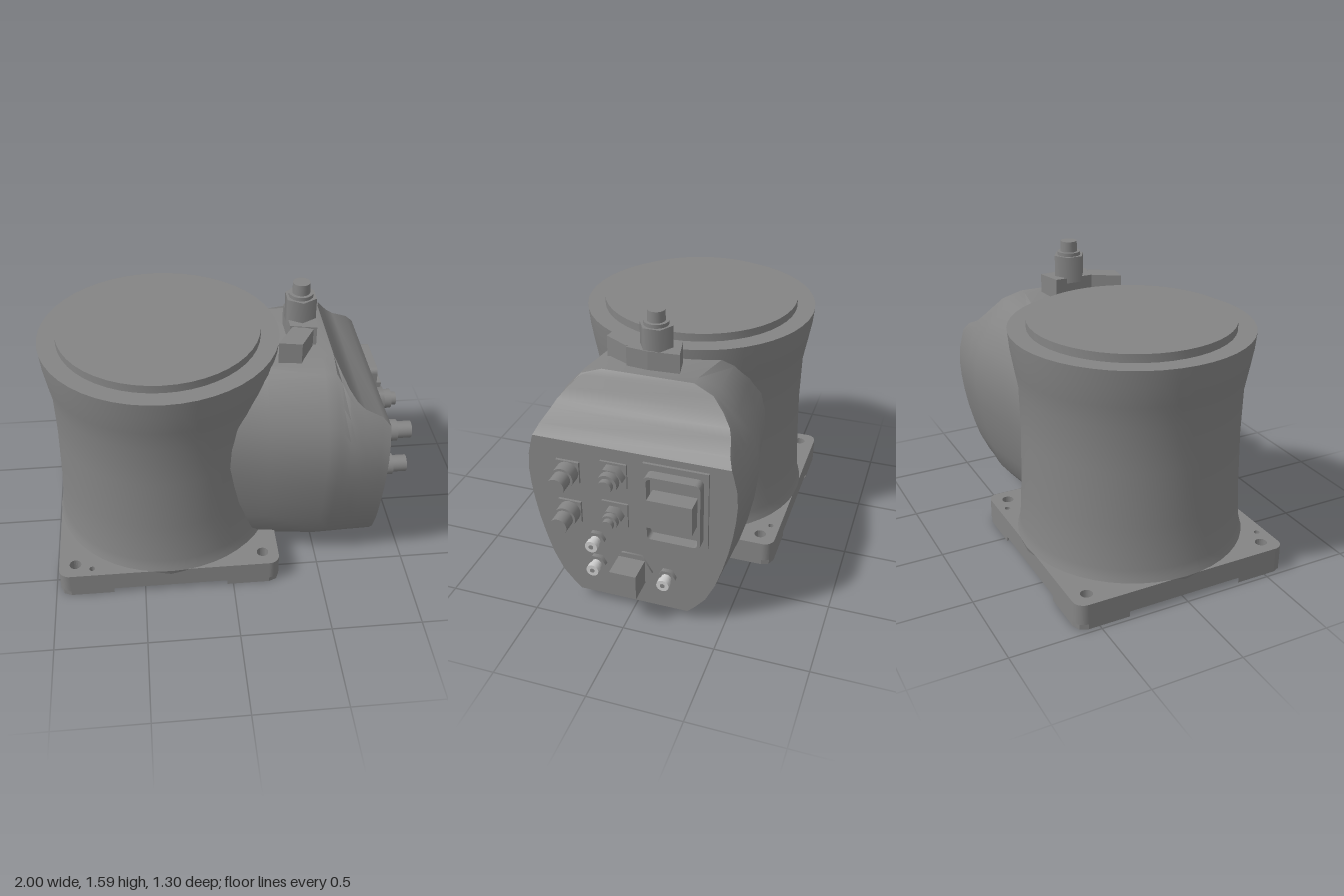
import * as THREE from 'three';
import { toCreasedNormals } from 'three/addons/utils/BufferGeometryUtils.js';

const CX = -0.355; // centre of the base plate
const FACE = 0.835; // x of the connector panel

export function createModel() {
  const root = new THREE.Group();
  const darkGrey = new THREE.MeshStandardMaterial({ color: 0x848484 });
  const lightGrey = new THREE.MeshStandardMaterial({ color: 0xcccccc });

  const add = (name, geometry, x = 0, y = 0, z = 0, parent = root) => {
    const mesh = new THREE.Mesh(geometry, darkGrey);
    mesh.name = name;
    mesh.position.set(x, y, z);
    parent.add(mesh);
    return mesh;
  };
  const polygon = (points) => new THREE.Shape(points.map(([a, b]) => new THREE.Vector2(a, b)));
  const drill = (shape, x, z, r) => {
    const hole = new THREE.Path();
    hole.absarc(x, z, r, 0, Math.PI * 2, true);
    shape.holes.push(hole);
  };
  // Rectangle with rounded corners, half sizes a and b
  const roundRect = (Outline, a, b, c, x = 0) => {
    const s = new Outline();
    [[1, 1], [-1, 1], [-1, -1], [1, -1]].forEach(([sx, sy], k) =>
      s.absarc(x + sx * (a - c), sy * (b - c), c, k * Math.PI / 2, (k + 1) * Math.PI / 2, false));
    return s;
  };
  // Horizontal slab from an (x, z) outline
  const slab = (shape, top, depth) => {
    const g = new THREE.ExtrudeGeometry(shape, { depth, bevelEnabled: false, curveSegments: 10 });
    return g.rotateX(Math.PI / 2).translate(0, top, 0);
  };

  // Round column with flared rim
  const profile = [[0, 0.03], [0.6, 0.03], [0.63, 0.145], [0.622, 0.17], [0.613, 0.21], [0.6, 0.45],
    [0.594, 0.75], [0.6, 1.0], [0.622, 1.12], [0.641, 1.23], [0.65, 1.32], [0.55, 1.32], [0.55, 1.365], [0, 1.365]];
  const lathe = new THREE.LatheGeometry(profile.map(([r, y]) => new THREE.Vector2(r, y)), 48);
  add('column', toCreasedNormals(lathe, 0.5), -0.35);

  // Base plate with rounded corners; the corner feet share its bolt holes
  const w = 0.62, d = 0.622;
  const plate = roundRect(THREE.Shape, w, d, 0.06, CX);
  for (const sx of [-1, 1]) {
    for (const sz of [-1, 1]) {
      const at = (u, v) => [CX + sx * u, sz * v];
      const foot = polygon([at(0.32, d), at(w - 0.06, d), at(w - 0.018, d - 0.018), at(w, d - 0.06),
        at(w, 0.33), at(0.575, 0.37), at(0.5, 0.46), at(0.42, 0.54), at(0.36, 0.58)]);
      for (const s of [plate, foot]) {
        drill(s, ...at(0.53, 0.53), 0.033);
        if (sx !== sz) drill(s, ...at(0.435, 0.57), 0.016);
      }
      add('cornerFoot', slab(foot, 0.03, 0.03));
    }
  }
  add('basePlate', slab(plate, 0.145, 0.115));

  // Side housing: each cross-section runs up its flank to a sloping roof line
  const flank = [[0.31, 0.06], [0.37, 0.12], [0.435, 0.2], [0.485, 0.34], [0.525, 0.48], [0.555, 0.63],
    [0.572, 0.77], [0.563, 0.9], [0.53, 1.015], [0.455, 1.137], [0.36, 1.242], [0.245, 1.285]];
  const flankZ = (y) => {
    const i = Math.max(1, flank.findIndex((p) => p[1] >= y - 1e-9));
    const [z0, y0] = flank[i - 1], [z1, y1] = flank[i];
    return THREE.MathUtils.mapLinear(y, y0, y1, z0, z1);
  };
  // Stations: x, width scale, roof height
  const stations = [[-0.1, 0.83, 1.24], [0.2, 0.9, 1.255], [0.5, 1.01, 1.285], [0.56, 1.005, 1.285],
    [0.585, 1.003, 1.245], [0.62, 1, 1.18], [0.66, 0.995, 1.125], [0.7, 0.99, 1.09], [0.79, 0.985, 1.05], [FACE, 0.98, 1.0]];
  const n = flank.length * 2;
  const pos = [], index = [];
  stations.forEach(([x, s, roof], i) => {
    const side = flank.map(([, h]) => {
      const y = THREE.MathUtils.mapLinear(h, 0.06, 1.285, 0.06, roof);
      return [flankZ(y) * s, y];
    });
    const loop = [...side, ...side.map(([z, y]) => [-z, y]).reverse()];
    loop.forEach(([z, y], j) => {
      pos.push(x, y, z);
      if (i === stations.length - 1) return;
      const a = i * n + j, b = i * n + (j + 1) % n;
      index.push(a, a + n, b, b, a + n, b + n);
    });
  });
  const last = (stations.length - 1) * n;
  pos.push(FACE, 0.55, 0);
  for (let j = 0; j < n; j++) index.push(last + n, last + (j + 1) % n, last + j);
  const loft = new THREE.BufferGeometry();
  loft.setAttribute('position', new THREE.Float32BufferAttribute(pos, 3));
  loft.setIndex(index);
  add('sideHousing', toCreasedNormals(loft, 0.6));

  // Parts standing out from the panel, from x0 to x1
  const rod = (name, radius, x0, x1, y, z, sides = 24) => add(name,
    new THREE.CylinderGeometry(radius, radius, x1 - x0, sides).rotateZ(-Math.PI / 2), (x0 + x1) / 2, y, z);
  const box = (name, x1, y0, y1, z0, z1, x0 = FACE - 0.01) => add(name,
    new THREE.BoxGeometry(x1 - x0, y1 - y0, z1 - z0), (x0 + x1) / 2, (y0 + y1) / 2, (z0 + z1) / 2);
  const square = (name, x1, y, z, s) => box(name, x1, y - s / 2, y + s / 2, z - s / 2, z + s / 2);

  // Large round connectors
  for (const y of [0.825, 0.582]) {
    square('connectorFlange', 0.85, y, 0.335, 0.126);
    rod('connectorCollar', 0.06, 0.84, 0.92, y, 0.335);
    rod('connectorBarrel', 0.047, 0.91, 1.0, y, 0.335);
  }
  // Connectors with hexagonal nuts
  for (const [y, R, tip] of [[0.855, 0.068, 0.97], [0.615, 0.055, 0.96]]) {
    square('nutFlange', 0.847, y, 0.085, 0.142);
    rod('connectorNut', R, 0.84, 0.9, y, 0.085, 6);
    rod('connectorStem', R * 0.8, 0.89, tip - 0.03, y, 0.085);
    rod('connectorTip', R * 0.55, 0.93, tip, y, 0.085);
  }
  // Small fittings with bright heads
  for (const [y, z] of [[0.43, 0.195], [0.275, 0.195], [0.275, -0.195]]) {
    rod('fittingNut', 0.05, 0.82, 0.86, y, z, 6);
    rod('fittingStem', 0.028, 0.85, 0.895, y, z, 16).material = lightGrey;
    rod('fittingHead', 0.034, 0.89, 0.922, y, z, 16).material = lightGrey;
    rod('fittingBore', 0.013, 0.9, 0.924, y, z, 12);
  }
  // Square plug on a hexagonal plate
  rod('plugPlate', 0.113, 0.82, 0.847, 0.278, 0, 6);
  square('plug', 0.985, 0.275, 0, 0.145);

  // Rectangular socket: back plate, hollow frame and raised block
  box('socketPlate', 0.85, 0.51, 0.962, -0.415, -0.073);
  const frame = roundRect(THREE.Shape, 0.147, 0.194, 0.03);
  frame.holes.push(roundRect(THREE.Path, 0.132, 0.18, 0.02));
  const frameGeo = new THREE.ExtrudeGeometry(frame, { depth: 0.07, bevelEnabled: false, curveSegments: 5 });
  add('socketFrame', frameGeo.rotateY(Math.PI / 2), 0.84, 0.733, -0.244);
  box('socketBlock', 0.945, 0.65, 0.815, -0.36, -0.125);

  // Bracket, hexagonal valve and cap on the roof
  add('bracket', slab(polygon([[0.34, -0.115], [0.487, -0.147], [0.5, 0.02], [0.485, 0.14], [0.345, 0.11]]), 1.39, 0.2));
  add('bracketArm', slab(polygon([[0.365, 0.1], [0.465, 0.145], [0.385, 0.285], [0.265, 0.262]]), 1.385, 0.22));
  const valve = new THREE.Group();
  valve.name = 'valve';
  valve.position.set(0.415, 0, 0);
  root.add(valve);
  add('valveBody', new THREE.CylinderGeometry(0.09, 0.09, 0.15, 6), 0, 1.435, 0, valve);
  add('valveCollar', new THREE.CylinderGeometry(0.066, 0.066, 0.03, 24), 0, 1.515, 0, valve);
  add('valveCap', new THREE.CylinderGeometry(0.046, 0.048, 0.07, 24), 0, 1.555, 0, valve);

  return root;
}
